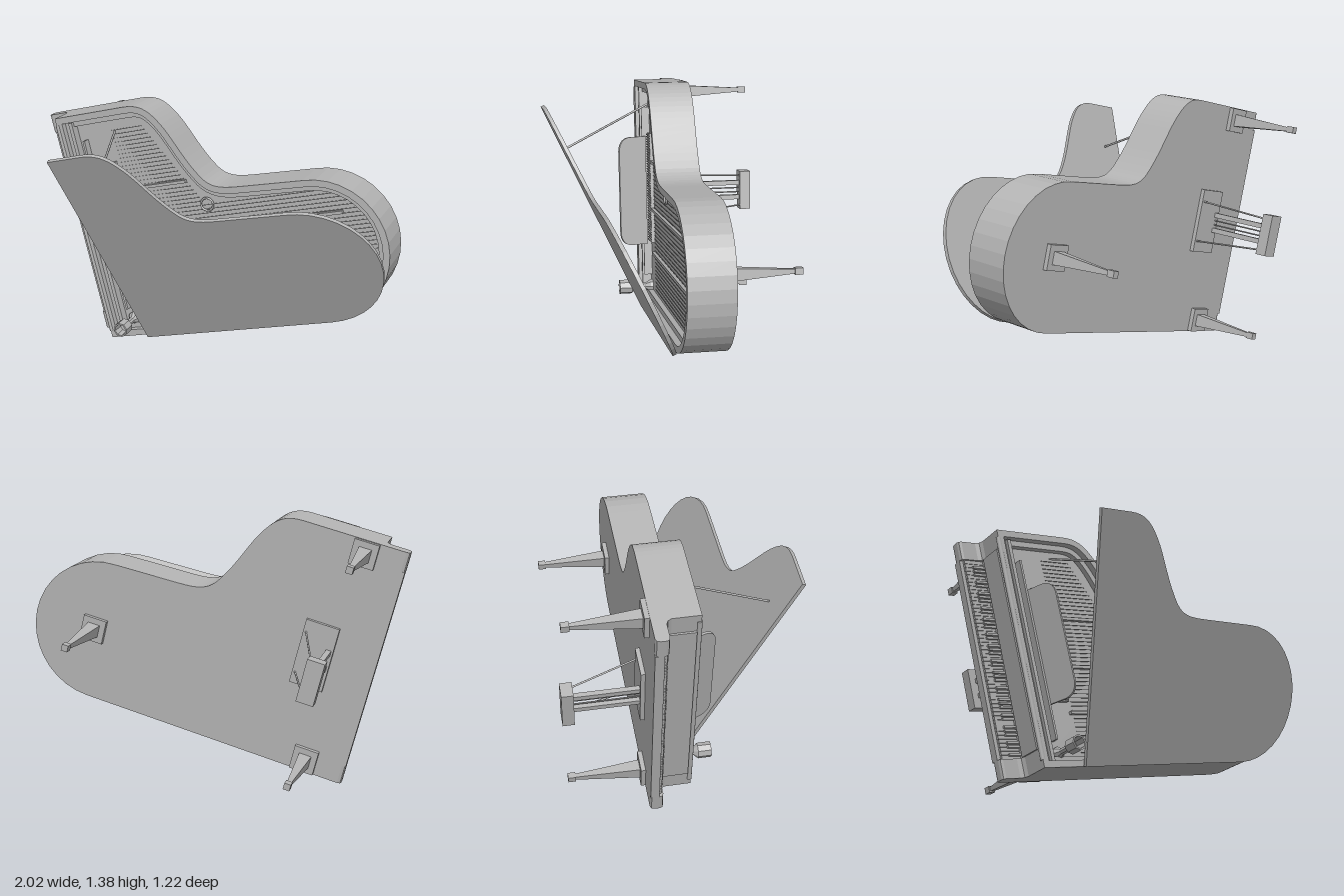
import * as THREE from 'three';

const grey = new THREE.MeshStandardMaterial({ color: 0xb4b4b4 });
grey.name = 'grey';

// Local frame: x = length (keys to tail), y = width (bass to treble), z = up from the rim top.
const WIDTH = 1.271, DEPTH = 0.235;

function outline(u0) {
  const s = new THREE.Shape();
  s.moveTo(u0, 0);
  s.lineTo(1.444, 0);
  s.absarc(1.444, 0.376, 0.376, -Math.PI / 2, Math.PI / 2, false);
  s.lineTo(1.12, 0.764);
  s.bezierCurveTo(1.0, 0.768, 0.945, 0.775, 0.9, 0.835);
  s.bezierCurveTo(0.82, 0.95, 0.79, 1.07, 0.74, 1.15);
  s.bezierCurveTo(0.69, 1.23, 0.65, WIDTH, 0.55, WIDTH);
  s.lineTo(u0, WIDTH);
  return s;
}

// Outline moved inwards by t, with mitred corners
function inset(u0, t) {
  const pts = outline(u0).getPoints(9).filter((p, i, a) => i === 0 || p.distanceTo(a[i - 1]) > 1e-4);
  const n = pts.length;
  const normal = (a, b) => new THREE.Vector2(a.y - b.y, b.x - a.x).normalize();
  return pts.map((p, i) => {
    const a = normal(pts[(i + n - 1) % n], p), b = normal(p, pts[(i + 1) % n]);
    return p.clone().addScaledVector(a.clone().add(b), t / (1 + a.dot(b)));
  });
}

export function createModel() {
  const root = new THREE.Group();
  root.name = 'grandPiano';
  const piano = new THREE.Group();
  piano.name = 'tiltedPiano';
  root.add(piano);

  const add = (name, geometry, parent = piano) => {
    const m = new THREE.Mesh(geometry, grey);
    m.name = name;
    parent.add(m);
    return m;
  };
  const box = (name, u0, u1, v0, v1, w0, w1, parent) =>
    add(name, new THREE.BoxGeometry(u1 - u0, v1 - v0, w1 - w0)
      .translate((u0 + u1) / 2, (v0 + v1) / 2, (w0 + w1) / 2), parent);
  const slab = (name, shape, w0, w1, parent) =>
    add(name, new THREE.ExtrudeGeometry(shape, { depth: w1 - w0, bevelEnabled: false, curveSegments: 9 })
      .translate(0, 0, w0), parent);
  const rod = (name, a, b, r, sides = 6) => {
    const p = new THREE.Vector3(...a), q = new THREE.Vector3(...b);
    const m = add(name, new THREE.CylinderGeometry(r, r, p.distanceTo(q), sides));
    m.position.copy(p).add(q).multiplyScalar(0.5);
    m.quaternion.setFromUnitVectors(new THREE.Vector3(0, 1, 0), q.sub(p).normalize());
  };
  const ring = (name, u0, t0, t1, w0, w1) => {
    const s = new THREE.Shape(inset(u0, t0));
    s.holes.push(new THREE.Path(inset(u0, t1)));
    slab(name, s, w0, w1);
  };

  // Case: rim, inner ledge, floor and iron plate
  ring('rim', 0.13, 0, 0.035, -DEPTH + 0.02, 0);
  ring('innerLedge', 0.13, 0.035, 0.065, -0.07, -0.035);
  slab('caseFloor', outline(0.13), -DEPTH, -DEPTH + 0.02);
  slab('ironPlate', new THREE.Shape(inset(0.13, 0.034)), -0.085, -0.065);

  // Keyboard: cheeks, keybed, keys and fallboard
  const cheek = new THREE.Shape([[0.135, -DEPTH], [0.02, -DEPTH], [0.005, -0.228], [0, -0.212], [0, -0.185],
    [0.005, -0.172], [0.018, -0.167], [0.1, -0.167], [0.12, -0.158], [0.135, -0.13]]
    .map(p => new THREE.Vector2(...p)));
  for (const end of [0.1, WIDTH])
    add('keyCheek', new THREE.ExtrudeGeometry(cheek, { depth: 0.1, bevelEnabled: false })
      .rotateX(Math.PI / 2).translate(0, end, 0));
  box('keybed', 0, 0.135, 0.1, WIDTH - 0.1, -DEPTH, -0.19);
  const pitch = (WIDTH - 0.2) / 52;
  for (let i = 0; i < 52; i++) {
    const v = 0.1 + i * pitch;
    box('whiteKey', 0.02, 0.135, v + 0.001, v + pitch - 0.001, -0.19, -0.175);
    if ([0, 2, 3, 5, 6].includes(i % 7) && i < 51)
      box('blackKey', 0.06, 0.135, v + pitch * 0.7, v + pitch * 1.3, -0.18, -0.162);
  }
  box('fallboard', 0.12, 0.15, 0.1, WIDTH - 0.1, -0.15, -0.02);
  rod('fallboardEdge', [0.135, 0.04, -0.008], [0.135, WIDTH - 0.04, -0.008], 0.013, 10);

  // Front rails and tuning pin strip
  box('frontRail', 0.195, 0.215, 0.04, WIDTH - 0.04, -0.066, -0.015);
  box('deskRail', 0.25, 0.262, 0.15, WIDTH - 0.15, -0.066, -0.02);
  box('pinStrip', 0.31, 0.4, 0.36, 0.98, -0.066, -0.045);
  for (let i = 0; i < 44; i++)
    box('tuningPins', 0.315, 0.395, 0.366 + i * 0.014, 0.372 + i * 0.014, -0.045, -0.037);

  // Strings end where the case does
  for (let i = 0; i < 48; i++) {
    const v = 0.09 + i * 0.0225;
    const end = v < 0.69 ? 1.444 + Math.sqrt(Math.max(0, 0.09 - (v - 0.376) ** 2)) : 0.85 - (v - 0.69) * 0.55;
    box('string', 0.42, end, v, v + 0.003, -0.062, -0.058);
  }
  for (const [v, end] of [[0.3, 1.68], [0.55, 1.6], [0.82, 0.78]])
    box('plateBrace', 0.4, end, v - 0.008, v + 0.008, -0.066, -0.045);
  add('plateRing', new THREE.TorusGeometry(0.035, 0.006, 6, 14)).position.set(0.87, 0.68, -0.055);

  // Raised lid, hinged on the straight side
  const lid = new THREE.Group();
  lid.name = 'lidHinge';
  lid.rotation.x = 0.433;
  lid.position.z = 0.004;
  piano.add(lid);
  slab('lid', outline(0.365), 0, 0.02, lid);
  rod('lidProp', [0.455, 1.15, -0.03], [0.495, 0.925, 0.425], 0.006);

  // Music desk leaning back
  const d = new THREE.Shape();
  d.moveTo(0.335, 0);
  d.lineTo(0.955, 0);
  d.lineTo(0.955, 0.1);
  d.quadraticCurveTo(0.95, 0.165, 0.88, 0.17);
  d.lineTo(0.41, 0.17);
  d.quadraticCurveTo(0.34, 0.165, 0.335, 0.1);
  const desk = add('musicDesk', new THREE.ExtrudeGeometry(d, { depth: 0.014, bevelEnabled: false })
    .rotateX(0.36)
    .applyMatrix4(new THREE.Matrix4().makeBasis(
      new THREE.Vector3(0, 1, 0), new THREE.Vector3(0, 0, 1), new THREE.Vector3(1, 0, 0))));
  desk.position.set(0.262, 0, -0.035);

  // Small flared cup on the bass side
  const cup = add('cup', new THREE.LatheGeometry([[0, -0.065], [0.036, -0.065], [0.036, -0.05], [0.018, -0.02],
    [0.018, 0.035], [0.041, 0.06], [0.041, 0.13], [0.032, 0.13], [0.028, 0.07], [0, 0.065]]
    .map(p => new THREE.Vector2(...p)), 8).toNonIndexed());
  cup.geometry.computeVertexNormals();
  cup.geometry.rotateX(Math.PI / 2);
  cup.position.set(0.269, 0.085, 0);

  // Three tapered square legs
  for (const [u, v] of [[0.215, 0.068], [0.215, WIDTH - 0.068], [1.483, 0.379]]) {
    const leg = new THREE.Group();
    leg.name = 'leg';
    leg.position.set(u, v, -DEPTH);
    piano.add(leg);
    box('legPlate', -0.064, 0.064, -0.064, 0.064, -0.024, 0.002, leg);
    const taper = new THREE.CylinderGeometry(0.033 * Math.SQRT2, 0.011 * Math.SQRT2, 0.335, 4).toNonIndexed();
    taper.computeVertexNormals();
    add('legShaft', taper.rotateY(Math.PI / 4).rotateX(Math.PI / 2).translate(0, 0, -0.19), leg);
    box('foot', -0.017, 0.017, -0.017, 0.017, -0.396, -0.356, leg);
  }

  // Pedal lyre with posts and slanted braces
  box('lyrePlate', 0.225, 0.4, 0.455, 0.8, -DEPTH - 0.022, -DEPTH + 0.002);
  box('pedalBox', 0.2, 0.288, 0.515, 0.735, -0.645, -0.585);
  for (const side of [-1, 1]) {
    const v = 0.625 + side * 0.042;
    box('lyrePost', 0.235, 0.262, v - 0.013, v + 0.013, -0.59, -DEPTH - 0.02);
    rod('lyreBrace', [0.275, 0.625 + side * 0.085, -0.59], [0.385, 0.625 + side * 0.11, -DEPTH - 0.02], 0.005);
    rod('pedalRod', [0.25, 0.625 + side * 0.012, -0.59], [0.25, 0.625 + side * 0.012, -DEPTH - 0.02], 0.004);
  }

  // Set the whole piano at its slant
  const U = new THREE.Vector3(0.968, 0.252, -0.039).normalize();
  const W = U.clone().cross(new THREE.Vector3(-0.252, 0.968, -0.0115)).normalize();
  const V = W.clone().cross(U);
  piano.quaternion.setFromRotationMatrix(new THREE.Matrix4().makeBasis(U, V, W));
  piano.position.set(-0.675, 0.005, 0.082);
  return root;
}
